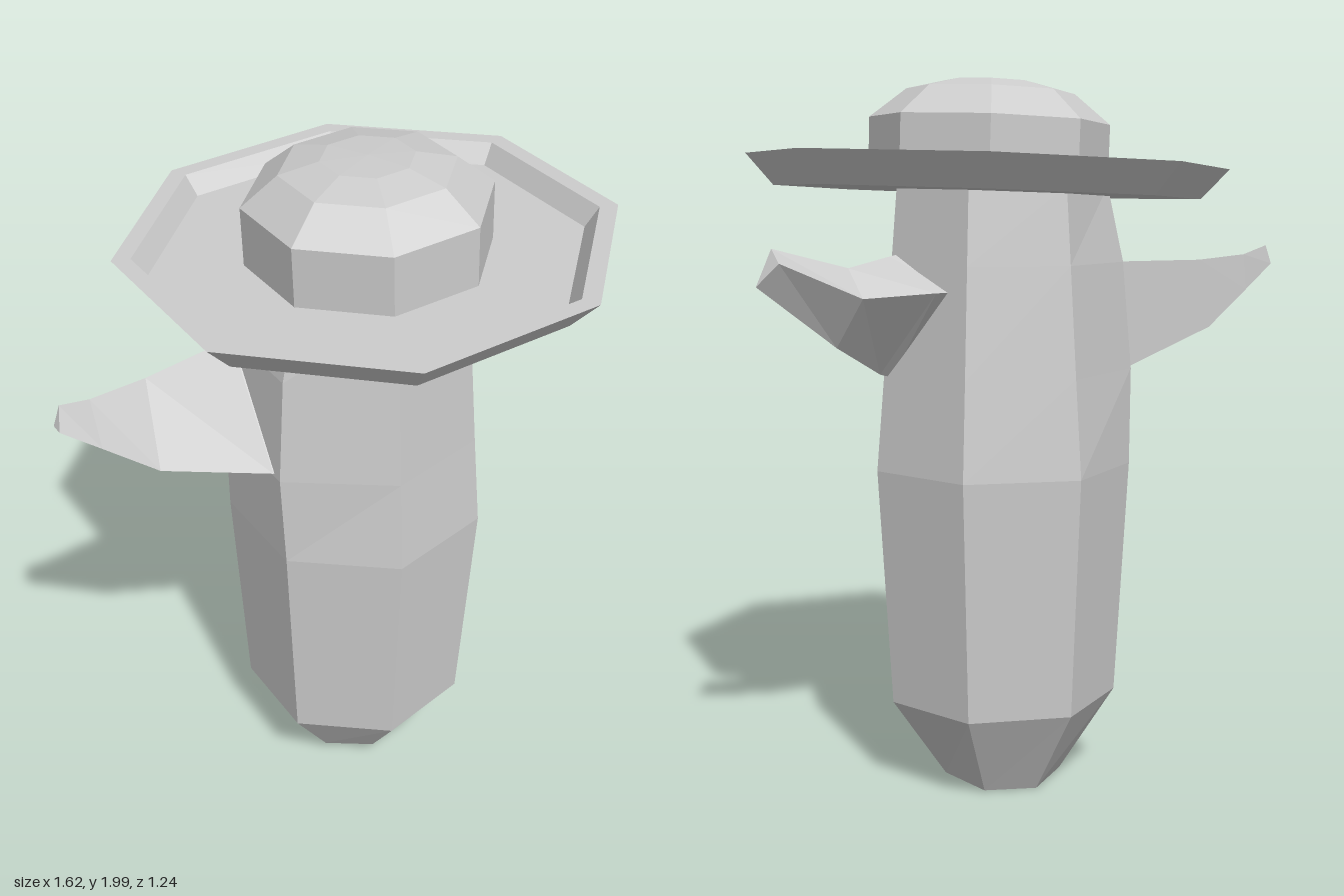
import * as THREE from 'three';

const material = new THREE.MeshStandardMaterial({ color: 0xcccccc, flatShading: true });

function mesh(name, geometry) {
  const m = new THREE.Mesh(geometry, material);
  m.name = name;
  return m;
}

// Skin a list of rings (counter-clockwise seen from the last ring) and cap both ends
function loft(rings) {
  const n = rings[0].length, last = (rings.length - 1) * n, index = [];
  for (let i = 0; i < rings.length - 1; i++) {
    for (let j = 0; j < n; j++) {
      const k = (j + 1) % n, a = i * n + j, b = i * n + k;
      index.push(a, b, b + n, a, b + n, a + n);
    }
  }
  for (let j = 1; j < n - 1; j++) {
    index.push(0, j + 1, j, last, last + j, last + j + 1);
  }
  const g = new THREE.BufferGeometry();
  g.setAttribute('position', new THREE.Float32BufferAttribute(rings.flat(2), 3));
  g.setIndex(index);
  const flat = g.toNonIndexed();
  flat.computeVertexNormals();
  return flat;
}

// Seven-sided body ring with a corner on +x; bulge moves the flat -x side outward
function bodyRing(y, r, tilt = 0, bulge = 0) {
  return Array.from({ length: 7 }, (_, j) => {
    const a = (j / 7) * Math.PI * 2;
    const z = -r * Math.sin(a);
    const x = r * Math.cos(a) - (j === 3 || j === 4 ? bulge : 0);
    return [0.073 + x, y + tilt * z, z - 0.01];
  });
}

// Octagonal turned part with flat sides facing the axes; profile is [apothem, y]
function octagon(profile) {
  const points = profile.map(([a, y]) => new THREE.Vector2(a / Math.cos(Math.PI / 8), y));
  return new THREE.LatheGeometry(points, 8, Math.PI / 8);
}

export function createModel() {
  const model = new THREE.Group();

  // Body, with a slightly slanted foot
  model.add(mesh('body', loft([
    bodyRing(0.025, 0.173, 0.12),
    bodyRing(0.26, 0.331),
    bodyRing(0.93, 0.369),
    bodyRing(1.2, 0.345, 0, 0.03),
    bodyRing(1.5, 0.32, 0, 0.03),
    bodyRing(1.71, 0.302),
  ])));

  // Arms: triangular sections from inside the body to the tip
  model.add(mesh('leftArm', loft([
    [[0.36, 1.53, -0.02], [0.40, 1.19, -0.02], [0.28, 1.43, -0.2]],
    [[0.405, 1.52, -0.025], [0.435, 1.2, -0.025], [0.34, 1.43, -0.21]],
    [[0.545, 1.495, -0.1], [0.58, 1.285, -0.1], [0.54, 1.42, -0.205]],
    [[0.76, 1.55, -0.135], [0.81, 1.455, -0.165], [0.76, 1.515, -0.205]],
  ])));
  model.add(mesh('rightArm', loft([
    [[-0.2, 1.5, -0.13], [-0.22, 1.2, -0.13], [-0.22, 1.21, 0.11]],
    [[-0.25, 1.5, -0.135], [-0.27, 1.2, -0.135], [-0.27, 1.21, 0.11]],
    [[-0.53, 1.498, -0.085], [-0.57, 1.3, -0.08], [-0.57, 1.3, 0.05]],
    [[-0.7, 1.51, -0.055], [-0.71, 1.405, -0.055], [-0.71, 1.405, 0.02]],
    [[-0.79, 1.535, -0.035], [-0.81, 1.48, -0.035], [-0.81, 1.48, 0]],
  ])));

  // Hat: dished brim and domed crown, tipped a little to one side
  const hat = new THREE.Group();
  hat.name = 'hat';
  hat.position.set(0.1, 1.778, 0);
  hat.rotation.z = 0.036;
  hat.add(mesh('brim', octagon([
    [0, -0.085], [0.55, -0.085], [0.622, 0], [0.575, 0], [0.54, -0.055], [0, -0.055],
  ])));
  hat.add(mesh('crown', octagon([
    [0.308, -0.06], [0.308, 0.11], [0.215, 0.19], [0.115, 0.216], [0, 0.22],
  ])));
  model.add(hat);

  return model;
}
